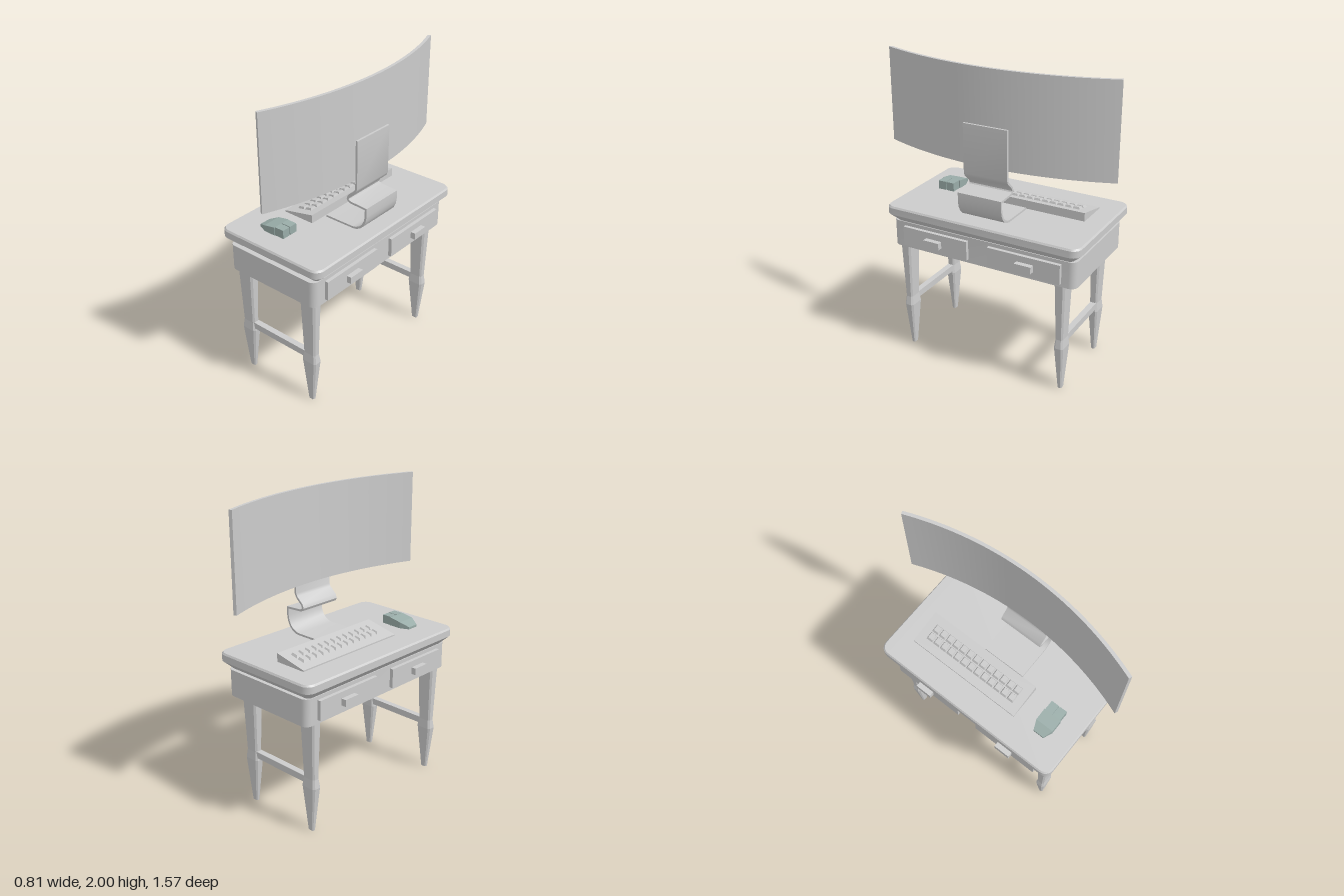
import * as THREE from 'three';
import { toCreasedNormals } from 'three/addons/utils/BufferGeometryUtils.js';

const grey = new THREE.MeshStandardMaterial({ color: 0xcccccc });
const teal = new THREE.MeshStandardMaterial({ color: 0x99aca8 });

// Closed solid through rings of equal point count (counter-clockwise about the travel direction)
function loft(rings, crease = 0.6) {
  const pos = [], n = rings[0].length, last = rings.length - 1;
  const tri = (...pts) => pts.forEach(p => pos.push(...p));
  for (let i = 0; i < last; i++) {
    for (let j = 0; j < n; j++) {
      const k = (j + 1) % n;
      const a = rings[i][j], b = rings[i][k], c = rings[i + 1][k], d = rings[i + 1][j];
      tri(a, b, c);
      tri(a, c, d);
    }
  }
  for (let j = 1; j < n - 1; j++) {
    tri(rings[0][0], rings[0][j + 1], rings[0][j]);
    tri(rings[last][0], rings[last][j], rings[last][j + 1]);
  }
  const g = new THREE.BufferGeometry();
  g.setAttribute('position', new THREE.Float32BufferAttribute(pos, 3));
  return toCreasedNormals(g, crease);
}

// Horizontal rectangle ring with rounded or chamfered corners
function rectRing(y, hx, hz, r, seg, cx = 0, cz = 0) {
  const ring = [];
  [[1, 1], [-1, 1], [-1, -1], [1, -1]].forEach(([sx, sz], q) => {
    for (let i = 0; i <= seg; i++) {
      const a = (q + i / seg) * Math.PI / 2;
      ring.push([cx + sx * (hx - r) + r * Math.cos(a), y, cz - sz * (hz - r) - r * Math.sin(a)]);
    }
  });
  return ring;
}

function add(parent, name, geometry, material = grey) {
  const m = new THREE.Mesh(geometry, material);
  m.name = name;
  parent.add(m);
  return m;
}

function box(parent, name, x0, x1, y0, y1, z0, z1) {
  const m = add(parent, name, new THREE.BoxGeometry(x1 - x0, y1 - y0, z1 - z0));
  m.position.set((x0 + x1) / 2, (y0 + y1) / 2, (z0 + z1) / 2);
  return m;
}

// Strip of constant thickness and width following a path in the xy plane
function ribbon(path, half, z0, z1) {
  const pts = path.map(p => new THREE.Vector2(...p));
  return loft(pts.map((p, i) => {
    const before = p.clone().sub(pts[Math.max(i - 1, 0)]).normalize();
    const after = pts[Math.min(i + 1, pts.length - 1)].clone().sub(p).normalize();
    const t = before.clone().add(after).normalize();
    const miter = half / Math.max(0.6, t.dot(i ? before : after));
    const nx = -t.y * miter, ny = t.x * miter;
    return [[-1, z0], [1, z0], [1, z1], [-1, z1]].map(([s, z]) => [p.x + s * nx, p.y + s * ny, z]);
  }));
}

function createDesk() {
  const desk = new THREE.Group();
  desk.name = 'desk';
  // Top with a sloping underside, then the drawer case
  const top = [[0.945, 0.34, 0.617, 0.03], [1.0, 0.395, 0.675, 0.06], [1.044, 0.395, 0.675, 0.06], [1.055, 0.387, 0.667, 0.055]];
  add(desk, 'tabletop', loft(top.map(([y, hx, hz, r]) => rectRing(y, hx, hz, r, 6, 0, -0.008))));
  add(desk, 'drawerCase', loft([0.77, 0.946].map(y => rectRing(y, 0.347, 0.647, 0.045, 6, 0, -0.004))));

  // Drawers and handles on both long sides
  for (const s of [-1, 1]) {
    for (const [z0, z1, h] of [[0.08, 0.548, 0.32], [-0.56, -0.066, -0.328]]) {
      const side = (a, b) => [Math.min(s * a, s * b), Math.max(s * a, s * b)];
      box(desk, 'drawerFront', ...side(0.33, 0.371), 0.794, 0.922, z0, z1);
      box(desk, 'drawerHandle', ...side(0.36, 0.405), 0.835, 0.88, h - 0.056, h + 0.056);
    }
  }

  // Tapered legs with a swelling, joined in pairs by stretchers
  const leg = [[0, 0.02, 0.013, 0.006], [0.31, 0.055, 0.032, 0.012], [0.37, 0.046, 0.025, 0.01], [0.775, 0.06, 0.036, 0.012]];
  const legGeometry = loft(leg.map(([y, hx, hz, r]) => rectRing(y, hx, hz, r, 1)), 0.1);
  for (const z of [0.58, -0.535]) {
    for (const x of [-0.26, 0.26]) add(desk, 'leg', legGeometry).position.set(x, 0, z);
    box(desk, 'stretcher', -0.23, 0.23, 0.328, 0.373, z - 0.02, z + 0.02);
  }
  return desk;
}

function createMonitor() {
  const monitor = new THREE.Group();
  monitor.name = 'monitor';
  // Curved screen
  const R = 2.13, cx = 0.25 - R, a = 0.3775;
  const arc = new THREE.Shape();
  arc.absarc(cx, 0, R, -a, a, false);
  arc.absarc(cx, 0, R - 0.021, a, -a, true);
  const screen = new THREE.ExtrudeGeometry(arc, { depth: 0.612, bevelEnabled: false, curveSegments: 16 });
  screen.rotateX(-Math.PI / 2).translate(0, 1.388, 0);
  add(monitor, 'screen', toCreasedNormals(screen, 0.5));

  // Bent strip stand
  const path = [[0.02, 1.061], [0.23, 1.061], [0.258, 1.066], [0.287, 1.08], [0.31, 1.103], [0.325, 1.135],
    [0.331, 1.17], [0.331, 1.221], [0.215, 1.228], [0.198, 1.234], [0.191, 1.247], [0.199, 1.268],
    [0.247, 1.312], [0.256, 1.332], [0.257, 1.65]];
  add(monitor, 'stand', ribbon(path, 0.007, -0.149, 0.153));
  return monitor;
}

function createKeyboard() {
  const keyboard = new THREE.Group();
  keyboard.name = 'keyboard';
  // Wedge body
  const slope = x => 1.064 + (x + 0.22) * 0.21;
  const xRing = (x, y, z0, z1) => [[x, 1.054, z0], [x, y, z0], [x, y, z1], [x, 1.054, z1]];
  add(keyboard, 'keyboardBody', loft([-0.22, 0.005].map(x => xRing(x, slope(x), -0.545, 0.27)), 0.1));

  // Tapered keys, tops set towards the back
  const key = loft([
    rectRing(-0.004, 0.028, 0.026, 0, 1),
    rectRing(0.014, 0.019, 0.018, 0, 1, 0.006, 0.003),
  ], 0.1);
  for (const x of [-0.137, -0.079]) {
    for (let i = 0; i < 13; i++) {
      const k = add(keyboard, 'key', key);
      k.position.set(x, slope(x), -0.462 + i * 0.0542);
      k.rotation.z = Math.atan(0.21);
    }
  }
  return keyboard;
}

function createMouse() {
  const mouse = new THREE.Group();
  mouse.name = 'mouse';
  const solid = (name, zc, rows) => add(mouse, name, loft(rows.map(([x, y, h]) =>
    [[x, 1.054, zc - h], [x, y, zc - h], [x, y, zc + h], [x, 1.054, zc + h]]), 0.1), teal);
  // Palm rest narrowing to the tail, two buttons and the gap between them
  solid('mouseBody', 0.46, [[-0.215, 1.07, 0.038], [-0.155, 1.096, 0.063], [-0.073, 1.111, 0.063]]);
  for (const z of [0.4295, 0.4905]) solid('mouseButton', z, [[-0.073, 1.112, 0.0275], [-0.005, 1.112, 0.0275]]);
  solid('buttonGap', 0.46, [[-0.073, 1.098, 0.006], [-0.01, 1.098, 0.006]]);
  return mouse;
}

export function createModel() {
  const model = new THREE.Group();
  model.name = 'computerDesk';
  model.add(createDesk(), createMonitor(), createKeyboard(), createMouse());
  return model;
}
